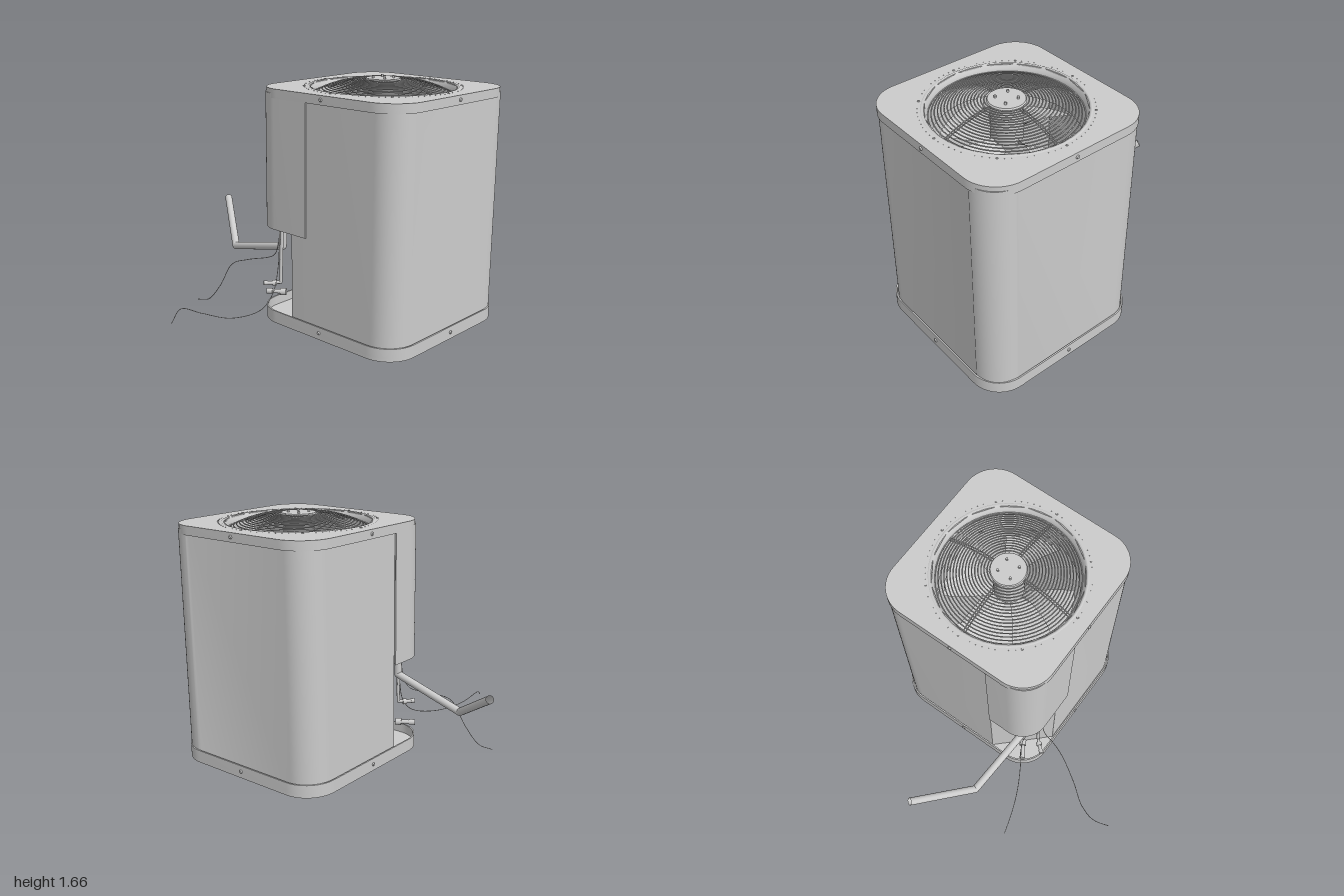
import * as THREE from 'three';
import { mergeGeometries, toCreasedNormals } from 'three/addons/utils/BufferGeometryUtils.js';

const V = (x, y, z) => new THREE.Vector3(x, y, z);
const CX = 0.385, CZ = -0.355, TAU = Math.PI * 2;

export function createModel() {
  const model = new THREE.Group();
  model.name = 'airConditioner';
  const cabinet = new THREE.Group();
  cabinet.name = 'cabinet';
  cabinet.position.set(CX, 0, CZ);
  model.add(cabinet);

  const mat = new THREE.MeshStandardMaterial({ color: 0xcccccc, side: THREE.DoubleSide });
  const add = (name, geo, parent = cabinet) => {
    const m = new THREE.Mesh(geo, mat);
    m.name = name;
    parent.add(m);
    return m;
  };

  // Extrude a plan outline (x, -z) upward between two heights
  const rise = (shape, y0, y1) => {
    const g = new THREE.ExtrudeGeometry(shape, { depth: y1 - y0, bevelEnabled: false, curveSegments: 8 });
    g.rotateX(-Math.PI / 2).translate(0, y0, 0);
    return toCreasedNormals(g, 0.5);
  };
  // Rounded square plan
  const square = (h, r, Type = THREE.Shape) => {
    const s = new Type(), c = h - r;
    [[c, c], [-c, c], [-c, -c], [c, -c]].forEach(([x, y], i) =>
      s.absarc(x, y, r, i * Math.PI / 2, (i + 1) * Math.PI / 2, false));
    s.closePath();
    return s;
  };
  const ring = (h, r, t) => {
    const s = square(h, r);
    s.holes.push(square(h - t, r - t, THREE.Path));
    return s;
  };

  // Base tray
  add('baseFloor', rise(square(0.605, 0.21), 0, 0.02));
  add('baseRim', rise(ring(0.605, 0.21, 0.01), 0.02, 0.085));

  // Cabinet wall: chamfered service corner, and a rear corner post standing slightly proud
  const H = 0.582, P = 0.59, R = 0.17, C = H - R;
  const wall = new THREE.Shape();
  wall.absarc(C, -C, R, -Math.PI / 2, 0, false);
  wall.lineTo(H, 0.395);
  wall.lineTo(P, 0.41);
  wall.absarc(P - R, P - R, R, 0, Math.PI / 2, false);
  wall.lineTo(0.41, P);
  wall.lineTo(0.395, H);
  wall.absarc(-C, C, R, Math.PI / 2, Math.PI, false);
  wall.lineTo(-H, -0.255);
  wall.lineTo(-0.265, -H);
  wall.closePath();
  const inner = new THREE.Path(), h = 0.55, r = 0.14, c = h - r;
  inner.absarc(c, -c, r, -Math.PI / 2, 0, false);
  inner.absarc(c, c, r, 0, Math.PI / 2, false);
  inner.absarc(-c, c, r, Math.PI / 2, Math.PI, false);
  inner.lineTo(-h, -0.24);
  inner.lineTo(-0.25, -h);
  inner.closePath();
  wall.holes.push(inner);
  add('cabinetWall', rise(wall, 0.02, 1.56));

  // Wrapped service panel over the chamfered corner
  const panel = new THREE.Shape();
  panel.absarc(-C, -C, 0.182, Math.PI, Math.PI * 1.5, false);
  panel.lineTo(-0.135, -0.594);
  panel.lineTo(-0.135, -0.583);
  panel.absarc(-C, -C, 0.171, Math.PI * 1.5, Math.PI, true);
  panel.lineTo(-0.583, -0.255);
  panel.lineTo(-0.594, -0.255);
  panel.closePath();
  add('servicePanel', rise(panel, 0.655, 1.56));

  // Lid with fan opening
  const lid = square(0.599, 0.215);
  lid.holes.push(new THREE.Path().absarc(0, 0, 0.478, 0, TAU, true));
  add('lidTop', rise(lid, 1.58, 1.59));
  add('lidSkirt', rise(ring(0.599, 0.215, 0.004), 1.53, 1.58));
  const rim = [[0.497, 1.59], [0.49, 1.594], [0.478, 1.592], [0.465, 1.565], [0.455, 1.54], [0.45, 1.38]];
  add('fanShroud', new THREE.LatheGeometry(rim.map(p => new THREE.Vector2(...p)), 40));

  // Screws at the middle of each side of base and lid
  for (const [y, d] of [[0.045, 0.608], [1.562, 0.602]]) for (let i = 0; i < 4; i++) {
    const g = new THREE.CylinderGeometry(0.009, 0.014, 0.01, 8);
    g.rotateX(Math.PI / 2).translate(0, y, d).rotateY(i * Math.PI / 2);
    add('sideScrew', g);
  }
  // Lid screws and ring of small rivets
  const rivets = [];
  for (let i = 0; i < 80; i++) {
    const big = i % 10 === 0, a = i / 80 * TAU, s = big ? 0.009 : 0.003;
    rivets.push(new THREE.CylinderGeometry(s * 0.7, s, big ? 0.007 : 0.002, 6)
      .translate(Math.cos(a) * 0.513, 1.591, Math.sin(a) * 0.513));
  }
  add('lidRivets', mergeGeometries(rivets));

  // Domed wire grille
  const dome = d => 1.636 - 0.71 * (d - 0.1) ** 2;
  const wires = [];
  for (let i = 0; i < 18; i++) {
    const d = 0.13 + i * 0.0191;
    wires.push(new THREE.TorusGeometry(d, 0.0042, 5, 56).rotateX(Math.PI / 2).translate(0, dome(d), 0));
  }
  for (let i = 0; i < 4; i++) for (const off of [-0.008, 0.008]) {
    const pts = [0.1, 0.2, 0.3, 0.4, 0.462].map(d => V(d, dome(d) - 0.006, off));
    wires.push(new THREE.TubeGeometry(new THREE.CatmullRomCurve3(pts), 10, 0.004, 5).rotateY(i * Math.PI / 2));
  }
  add('grille', mergeGeometries(wires));
  add('grilleHub', new THREE.CylinderGeometry(0.112, 0.118, 0.01, 32).translate(0, 1.637, 0));
  for (const x of [-0.047, 0.047]) for (const z of [-0.047, 0.047])
    add('hubBolt', new THREE.CylinderGeometry(0.008, 0.008, 0.022, 8).translate(x, 1.646, z));

  // Motor and fan
  add('fanMotor', new THREE.CylinderGeometry(0.1, 0.1, 0.25, 28).translate(0, 1.507, 0));
  add('fanHub', new THREE.CylinderGeometry(0.07, 0.07, 0.06, 20).translate(0, 1.355, 0));
  for (let i = 0; i < 4; i++) {
    // Blade: a flat grid bent into a pitched, widening sector
    const g = new THREE.PlaneGeometry(1, 1, 8, 8), p = g.attributes.position;
    for (let k = 0; k < p.count; k++) {
      const u = p.getX(k) + 0.5, v = p.getY(k);
      const d = 0.065 + u * 0.355, a = v * (0.75 + 0.2 * u) + u * 0.2;
      p.setXYZ(k, Math.cos(a) * d, 1.355 + v * 0.09 + v * v * 0.04, Math.sin(a) * d);
    }
    g.rotateY(i * Math.PI / 2 + 0.4).computeVertexNormals();
    add('fanBlade', g);
  }

  // Pipes, valves and cables at the service corner
  const service = new THREE.Group();
  service.name = 'serviceConnections';
  model.add(service);
  const rod = (name, a, b, rad, open = false) => {
    const m = add(name, new THREE.CylinderGeometry(rad, rad, a.distanceTo(b), 16, 1, open), service);
    m.position.lerpVectors(a, b, 0.5);
    m.quaternion.setFromUnitVectors(V(0, 1, 0), b.clone().sub(a).normalize());
  };
  const pipe = (name, pts, rad) => pts.forEach((p, i) => {
    if (!i) return;
    rod(name, pts[i - 1], p, rad, true);
    if (i < pts.length - 1) add(name + 'Elbow', new THREE.SphereGeometry(rad, 16, 10), service).position.copy(p);
  });
  pipe('suctionPipe', [V(-0.06, 0.78, 0.12), V(-0.07, 0.505, 0.12), V(-0.61, 0.372, 0.065), V(-0.98, 0.62, -0.195)], 0.026);
  pipe('liquidPipe', [V(-0.02, 0.78, 0.17), V(-0.022, 0.275, 0.19), V(-0.07, 0.272, 0.235)], 0.011);
  rod('liquidPipeSleeve', V(-0.03, 0.68, 0.17), V(-0.03, 0.4, 0.18), 0.01);

  // Valves: body, stem and end cap
  const valve = (a, b, rad) => {
    const at = t => a.clone().lerp(b, t);
    rod('valveBody', at(0), at(0.3), rad);
    rod('valveStem', at(0.25), at(0.75), rad * 0.6);
    rod('valveCap', at(0.7), at(1), rad * 0.8);
  };
  valve(V(-0.07, 0.165, 0.09), V(-0.185, 0.163, 0.165), 0.024);
  valve(V(-0.045, 0.27, 0.21), V(-0.1, 0.272, 0.275), 0.02);

  const cable = (name, pts) => add(name, new THREE.TubeGeometry(
    new THREE.CatmullRomCurve3(pts.map(p => V(...p))), 60, 0.0025, 6), service);
  cable('controlCable', [[-0.69, 0.02, 0.37], [-0.6, 0.04, 0.345], [-0.5, 0.16, 0.32], [-0.4, 0.34, 0.285],
    [-0.3, 0.38, 0.23], [-0.15, 0.42, 0.14], [-0.09, 0.5, 0.15], [-0.06, 0.72, 0.15]]);
  cable('powerCable', [[-0.23, 0.15, 0.96], [-0.27, 0.205, 0.85], [-0.22, 0.15, 0.72], [-0.1, 0.105, 0.57],
    [0, 0.14, 0.4], [0.02, 0.23, 0.31], [0, 0.4, 0.235], [-0.02, 0.72, 0.2]]);

  return model;
}
